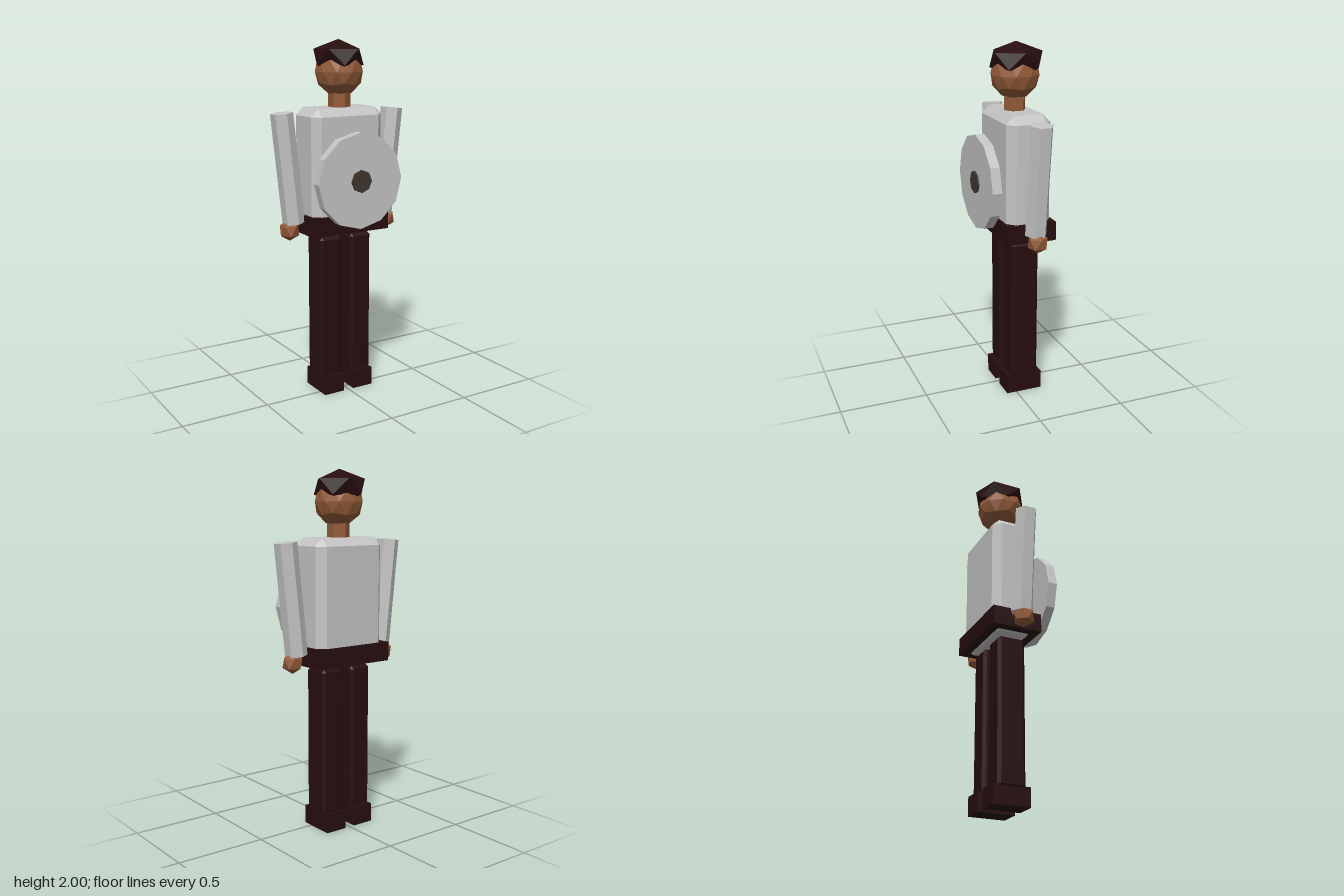
import * as THREE from 'three';
import { ConvexGeometry } from 'three/addons/geometries/ConvexGeometry.js';

const Z = -0.052; // depth of the body's centre line

function material(name, color) {
  const m = new THREE.MeshStandardMaterial({ color, flatShading: true });
  m.name = name;
  return m;
}

// Box with every edge and corner cut flat by c
function chamferBox(w, h, d, c) {
  const pts = [];
  for (const sx of [-1, 1]) for (const sy of [-1, 1]) for (const sz of [-1, 1]) {
    const [x, y, z] = [w / 2, h / 2, d / 2];
    pts.push(new THREE.Vector3(sx * x, sy * (y - c), sz * (z - c)));
    pts.push(new THREE.Vector3(sx * (x - c), sy * y, sz * (z - c)));
    pts.push(new THREE.Vector3(sx * (x - c), sy * (y - c), sz * z));
  }
  return new ConvexGeometry(pts);
}

// Icosahedral ball standing on one of its vertices
function ball(rx, ry, rz, detail) {
  const g = new THREE.IcosahedronGeometry(1, detail);
  g.rotateZ(-Math.atan(2 / (1 + Math.sqrt(5))));
  return g.scale(rx, ry, rz);
}

export function createModel() {
  const model = new THREE.Group();
  model.name = 'shieldBearer';

  const cloth = material('pale grey', 0xc4c4c4);
  const dark = material('dark brown', 0x270e0f);
  const skin = material('skin brown', 0x925a38);
  const bronze = material('dull bronze', 0x40362e);

  const add = (name, geometry, mat, x, y, z) => {
    const mesh = new THREE.Mesh(geometry, mat);
    mesh.name = name;
    mesh.position.set(x, y, z);
    model.add(mesh);
    return mesh;
  };

  // Trunk
  add('torso', chamferBox(0.446, 0.7, 0.253, 0.043), cloth, 0, 1.285, Z);
  add('belt', new THREE.BoxGeometry(0.486, 0.105, 0.283), dark, 0, 0.997, Z);

  // Head
  add('neck', new THREE.CylinderGeometry(0.062, 0.062, 0.12, 6), skin, 0, 1.665, Z + 0.005);
  add('head', ball(0.135, 0.135, 0.135, 1), skin, 0, 1.826, Z + 0.004);
  add('hair', ball(0.151, 0.095, 0.16, 0), dark, 0, 1.905, Z - 0.002);

  // Limbs
  for (const side of [1, -1]) {
    const name = side > 0 ? 'left' : 'right';
    const top = new THREE.Vector3(0.355 * side, 1.615, Z);
    const bottom = new THREE.Vector3(0.29 * side, 1.01, Z);
    const arm = add(name + 'Arm', new THREE.CylinderGeometry(0.062, 0.062, top.distanceTo(bottom), 6), cloth, 0, 0, 0);
    arm.position.copy(top).add(bottom).multiplyScalar(0.5);
    arm.rotation.z = -Math.atan2(top.x - bottom.x, top.y - bottom.y);
    add(name + 'Hand', ball(0.06, 0.06, 0.06, 0), skin, 0.317 * side, 0.972, Z);
    add(name + 'Leg', chamferBox(0.135, 0.83, 0.158, 0.016), dark, 0.097 * side, 0.506, Z + 0.004);
    add(name + 'Shoe', new THREE.BoxGeometry(0.126, 0.105, 0.211), dark, 0.095 * side, 0.0525, Z + 0.004);
  }

  // Shield held in front
  const disc = (r, depth, sides) => new THREE.CylinderGeometry(r, r, depth, sides).rotateX(Math.PI / 2);
  add('shield', disc(0.264, 0.053, 12), cloth, 0, 1.25, 0.156);
  add('shieldBoss', disc(0.063, 0.02, 8), bronze, 0, 1.25, 0.182);

  return model;
}
